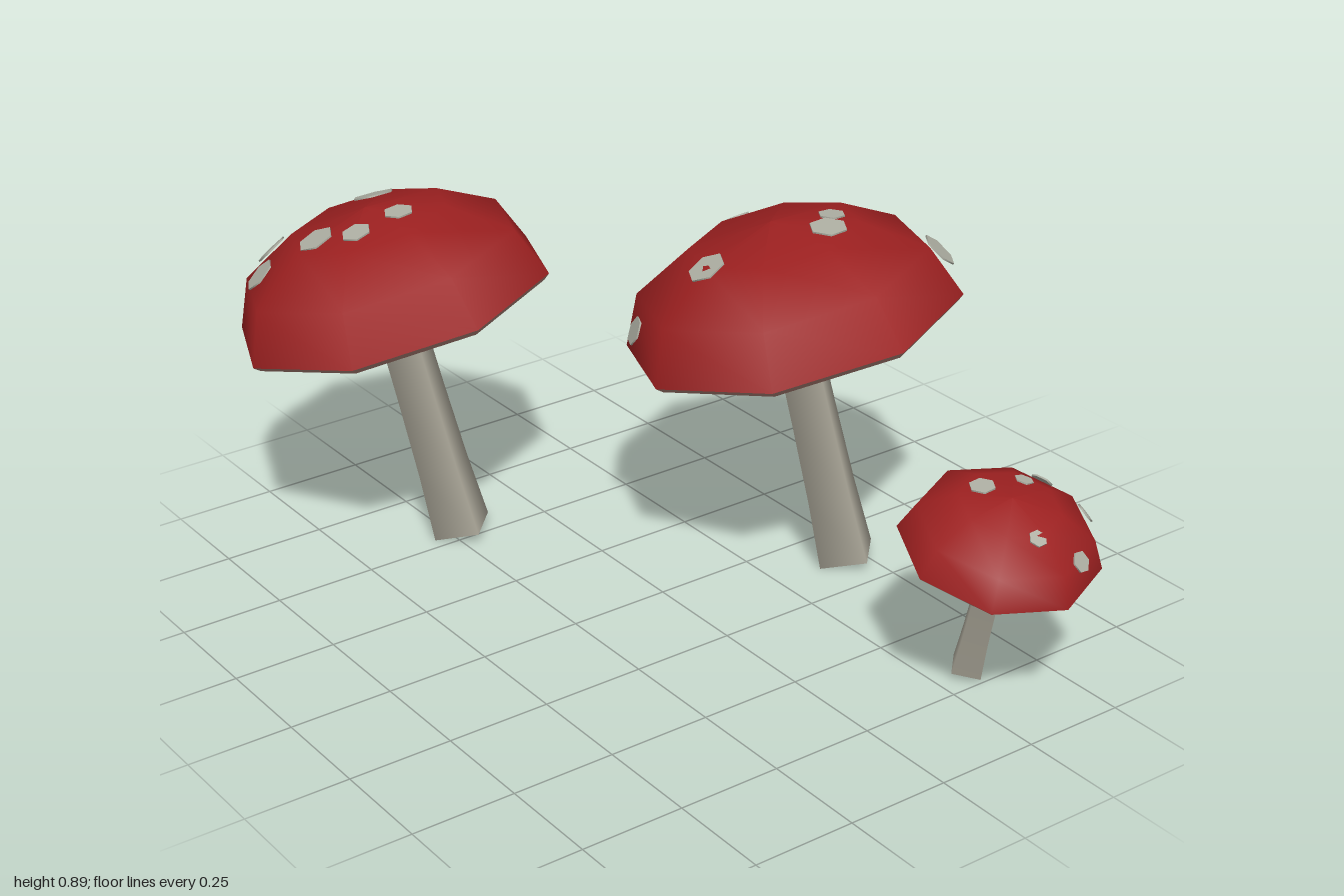
import * as THREE from 'three';

const mat = (name, color) => {
  const m = new THREE.MeshStandardMaterial({ color });
  m.name = name;
  return m;
};
const CAP_SIDES = 8;
const STEM_SIDES = 4;
const FLATNESS = 0.62; // cap height relative to its radius

export function createModel() {
  const red = mat('capRed', 0x9c2020);
  const stemGrey = mat('stemGrey', 0xaaa698);
  const rimPink = mat('rimPink', 0xb08478);
  const spotGrey = mat('spotGrey', 0xafb0a4);

  const lathe = (name, pts, material, sides) => {
    const geo = new THREE.LatheGeometry(pts.map(([r, y]) => new THREE.Vector2(r, y)), sides);
    const mesh = new THREE.Mesh(geo, material);
    mesh.name = name;
    return mesh;
  };

  // base: foot of the stem, centre: middle of the cap rim, spots: [x, z, radius] seen from above
  function mushroom({ name, base, centre, normal, R, stemR, spots }) {
    const g = new THREE.Group();
    g.name = name;
    const up = new THREE.Vector3(0, 1, 0);
    const H = R * FLATNESS;
    const foot = new THREE.Vector3(...base);
    const mid = new THREE.Vector3(...centre);

    // Four-sided stem, flared towards the foot
    const axis = mid.clone().sub(foot);
    const len = axis.length();
    const stem = new THREE.Group();
    stem.name = 'stem';
    stem.position.copy(foot);
    stem.quaternion.setFromUnitVectors(up, axis.normalize());
    stem.add(lathe('stemShaft', [[stemR, 0], [stemR * 0.88, len * 0.28],
      [stemR * 0.82, len * 0.6], [stemR * 0.78, len]], stemGrey, STEM_SIDES));
    const sole = new THREE.Mesh(new THREE.CircleGeometry(stemR, STEM_SIDES), stemGrey);
    sole.name = 'stemSole';
    sole.rotation.x = Math.PI / 2;
    stem.add(sole);
    g.add(stem);

    // Cap: squashed dome, bevelled rim, flat gills and a collar around the stem
    const cap = new THREE.Group();
    cap.name = 'cap';
    cap.position.copy(mid);
    cap.quaternion.setFromUnitVectors(up, new THREE.Vector3(...normal).normalize());
    const dome = [0, 1, 2, 3].map((i) => {
      const a = (i * Math.PI) / 6;
      return [i === 3 ? 0 : R * Math.cos(a), H * Math.sin(a)];
    });
    const drop = -0.036 * R;
    cap.add(
      lathe('dome', dome, red, CAP_SIDES),
      lathe('rim', [[0.96 * R, drop], [R, 0]], rimPink, CAP_SIDES),
      lathe('gills', [[0.19 * R, drop], [0.96 * R, drop]], stemGrey, CAP_SIDES),
      lathe('collar', [[0, drop], [0.19 * R, drop]], red, CAP_SIDES),
    );
    g.add(cap);

    // Spots: thin hexagons dropped vertically onto the dome
    const inv = cap.quaternion.clone().invert();
    const squash = new THREE.Vector3(1 / R, 1 / H, 1 / R);
    for (const [x, z, r] of spots) {
      const o = new THREE.Vector3(x, mid.y, z).sub(mid).applyQuaternion(inv);
      const d = up.clone().applyQuaternion(inv);
      const so = o.clone().multiply(squash);
      const sd = d.clone().multiply(squash);
      const a = sd.dot(sd), b = so.dot(sd), c = so.dot(so) - 1;
      const t = (-b + Math.sqrt(Math.max(0, b * b - a * c))) / a;
      const p = o.addScaledVector(d, t);
      const n = p.clone().multiply(squash).multiply(squash).normalize();
      const spot = new THREE.Mesh(new THREE.CylinderGeometry(r, r, 0.004, 6), spotGrey);
      spot.name = 'spot';
      spot.position.copy(p).addScaledVector(n, -0.004);
      spot.quaternion.setFromUnitVectors(up, n);
      cap.add(spot);
    }
    return g;
  }

  const model = new THREE.Group();
  model.name = 'mushrooms';
  model.add(
    mushroom({
      name: 'frontMushroom', base: [-0.533, 0.014, 0.222], centre: [-0.62, 0.618, 0.335],
      normal: [-0.17, 1, 0.185], R: 0.388, stemR: 0.079,
      spots: [[-0.77, 0.29, 0.052], [-0.57, 0.34, 0.036], [-0.57, 0.455, 0.036],
        [-0.655, 0.515, 0.045], [-0.85, 0.53, 0.043], [-0.745, 0.62, 0.043]],
    }),
    mushroom({
      name: 'middleMushroom', base: [0.132, 0.014, -0.45], centre: [0.055, 0.635, -0.332],
      normal: [-0.165, 1, 0.165], R: 0.4, stemR: 0.081,
      spots: [[0.085, -0.415, 0.032], [0.14, -0.36, 0.045], [0.255, -0.6, 0.046],
        [-0.205, -0.365, 0.034], [0.02, -0.105, 0.047], [-0.085, 0.022, 0.034]],
    }),
    mushroom({
      name: 'smallMushroom', base: [0.703, 0.018, -0.33], centre: [0.782, 0.36, -0.33],
      normal: [0.25, 1, 0.02], R: 0.226, stemR: 0.047,
      spots: [[0.765, -0.41, 0.022], [0.745, -0.305, 0.03], [0.92, -0.31, 0.021],
        [0.715, -0.515, 0.025], [0.85, -0.52, 0.024], [0.975, -0.39, 0.025]],
    }),
  );
  return model;
}
